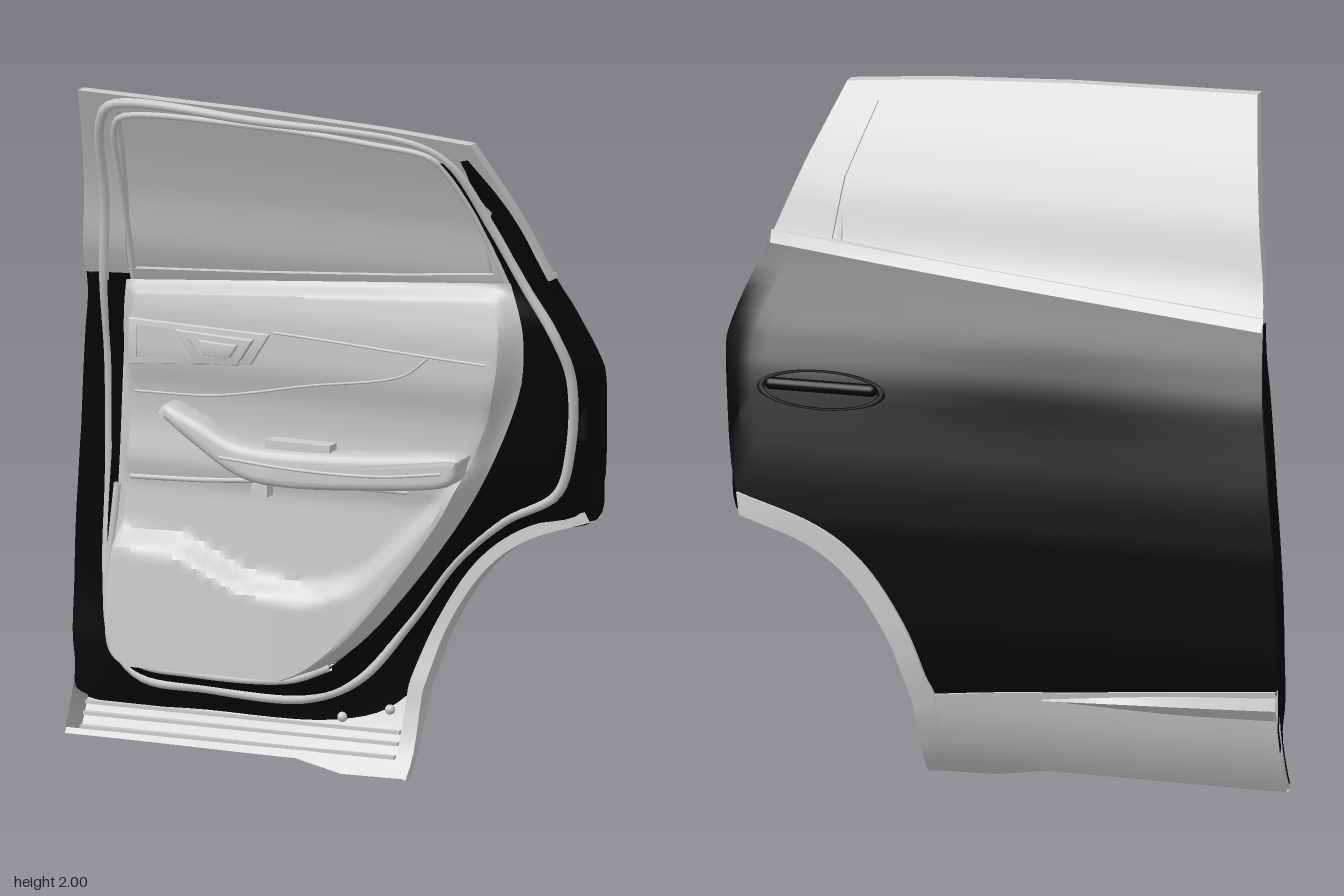
import * as THREE from 'three';
import { toCreasedNormals } from 'three/addons/utils/BufferGeometryUtils.js';

const grey = new THREE.MeshStandardMaterial({ color: 0xcccccc, side: THREE.DoubleSide });
const black = new THREE.MeshStandardMaterial({ color: 0x050505, side: THREE.DoubleSide });

// Smooth ramp from 0 at a to 1 at b, in either direction
function ramp(a, b, x) {
  const t = THREE.MathUtils.clamp((x - a) / (b - a), 0, 1);
  return t * t * (3 - 2 * t);
}

// Smoothed lookup through [input, output] pairs
function profile(t) {
  const lin = y => {
    let i = 0;
    while (i < t.length - 2 && y > t[i + 1][0]) i++;
    const [a, b] = [t[i], t[i + 1]];
    return a[1] + (b[1] - a[1]) * (y - a[0]) / (b[0] - a[0]);
  };
  return y => (lin(y - 0.03) + 2 * lin(y) + lin(y + 0.03)) / 4;
}

// Depth of each layer of the door by height
const skinZ = profile([[0, -0.06], [0.04, -0.1], [0.1, -0.138], [0.2, -0.185], [0.33, -0.22], [0.44, -0.237], [0.76, -0.25], [0.92, -0.24],
  [1.18, -0.19], [1.31, -0.13], [1.4, -0.065], [1.5, -0.005], [1.66, 0.045], [1.81, 0.115], [2, 0.22]]);
const sealZ = profile([[0.2, -0.08], [0.4, -0.115], [0.86, -0.125], [1.13, -0.07], [1.39, 0.03], [1.5, 0.045], [1.7, 0.11], [1.95, 0.23]]);
const edgeZ = profile([[0.2, 0], [0.9, 0.01], [1.2, 0.02], [1.4, 0.055], [1.5, 0.05], [1.7, 0.113], [1.9, 0.215]]);
const trimZ = profile([[0.27, 0.07], [0.6, 0.06], [0.84, 0.05], [0.88, 0.075], [1, 0.06], [1.1, 0.07], [1.2, 0.105], [1.35, 0.11], [1.45, 0.09], [1.55, 0.05]]);
const pocketTop = profile([[-0.62, 0.67], [-0.4, 0.66], [-0.2, 0.57], [0, 0.55], [0.15, 0.6], [0.35, 0.8]]);

const outZ = (x, y) => skinZ(y) + 0.025 * Math.exp(-6 * (x + 0.1) ** 2) * ramp(1.4, 1, y)
  + 0.05 * ramp(0.76, 0.84, x) + 0.015 * x * ramp(1.3, 1.6, y);
const off = d => (x, y) => outZ(x, y) + d;
const innerZ = (x, y) => trimZ(y) + (0.065 - 0.035 * ramp(-0.2, 0.2, x)) * ramp(0.03, -0.04, y - pocketTop(x));

function sample(pts, n, closed, smooth) {
  const v = pts.map(p => new THREE.Vector3(p[0], p[1], 0));
  if (smooth) {
    const c = new THREE.CatmullRomCurve3(v, closed, 'catmullrom', 0.5);
    return Array.from({ length: n + 1 }, (_, i) => c.getPoint(i / n));
  }
  const segs = closed ? v.length : v.length - 1;
  return Array.from({ length: n + 1 }, (_, i) => {
    const s = i / n * segs, j = Math.min(Math.floor(s), segs - 1);
    return v[j].clone().lerp(v[(j + 1) % v.length], s - j);
  });
}

// Surface lofted across outlines; each loop is [points, depth function]
function loft(loops, { k = 6, m = 2, closed = false, smooth = true } = {}) {
  const segs = loops[0][0].length - (closed ? 0 : 1), n = segs * k;
  const rows = loops.map(l => sample(l[0], n, closed, smooth));
  const pos = [], idx = [], last = (loops.length - 1) * m;
  for (let r = 0; r <= last; r++) {
    const a = Math.min(Math.floor(r / m), loops.length - 2), f = r / m - a;
    for (let i = 0; i <= n; i++) {
      const p = rows[a][i].clone().lerp(rows[a + 1][i], f);
      const z = [loops[a], loops[a + 1]].map(l => l[1](p.x, p.y, r / last, i / n));
      pos.push(p.x, p.y, z[0] + (z[1] - z[0]) * f);
      if (r < last && i < n) {
        const q = r * (n + 1) + i;
        idx.push(q, q + 1, q + n + 1, q + 1, q + n + 2, q + n + 1);
      }
    }
  }
  const g = new THREE.BufferGeometry();
  g.setAttribute('position', new THREE.Float32BufferAttribute(pos, 3));
  g.setIndex(idx);
  return toCreasedNormals(g, 0.6);
}

function slab(pts, depth, bevel, hole, round) {
  const v = a => a.map(p => new THREE.Vector2(...p));
  const s = new THREE.Shape();
  if (round) { s.moveTo(...pts[0]); s.splineThru(v([...pts.slice(1), pts[0]])); } else s.setFromPoints(v(pts));
  if (hole) s.holes.push(new THREE.Path(v(hole)));
  const g = new THREE.ExtrudeGeometry(s, { depth, bevelSize: bevel, bevelThickness: bevel, bevelOffset: -bevel, bevelSegments: 4, curveSegments: 6 });
  return toCreasedNormals(g, 0.7);
}

function tube(pts, zf, r, closed = false) {
  const c = new THREE.CatmullRomCurve3(pts.map(p => new THREE.Vector3(p[0], p[1], zf(p[0], p[1]))), closed, 'centripetal');
  return new THREE.TubeGeometry(c, pts.length * 8, r, 8, closed);
}

export function createModel() {
  const door = new THREE.Group();
  door.name = 'carDoor';
  const add = (name, geo, mat = grey, x = 0, y = 0, z = 0) => {
    const m = new THREE.Mesh(geo, mat);
    m.name = name;
    m.position.set(x, y, z);
    door.add(m);
    return m;
  };

  // Outer skin
  add('outerSkin', loft([
    [[[-0.835, 0.35], [-0.84, 0.45], [-0.84, 0.58], [-0.835, 0.7], [-0.83, 0.8], [-0.79, 1.12], [-0.77, 1.27], [-0.75, 1.4]], outZ],
    [[[0.25, 0.25], [0.3, 0.43], [0.4, 0.6], [0.54, 0.72], [0.75, 0.8], [0.83, 1.18], [0.825, 1.31], [0.74, 1.53]], outZ]], { m: 36 }), black);

  // Inner frame: outer rim, seal line and trim edge
  const rim = [[-0.75, 1.4], [-0.79, 1.15], [-0.83, 0.8], [-0.84, 0.5], [-0.83, 0.25], [-0.78, 0.13], [-0.4, 0.13], [0, 0.14], [0.2, 0.22], [0.3, 0.44],
    [0.41, 0.61], [0.55, 0.72], [0.755, 0.77], [0.79, 0.95], [0.835, 1.22], [0.81, 1.35], [0.73, 1.53], [0.645, 1.74], [0.55, 1.9]];
  const seal = [[-0.665, 1.4], [-0.69, 1.15], [-0.715, 0.8], [-0.72, 0.5], [-0.69, 0.3], [-0.6, 0.215], [-0.4, 0.2], [-0.08, 0.2], [0.08, 0.27], [0.23, 0.45],
    [0.37, 0.64], [0.52, 0.77], [0.68, 0.86], [0.735, 1], [0.765, 1.23], [0.735, 1.36], [0.66, 1.5], [0.58, 1.68], [0.49, 1.88]];
  const edge = [[-0.6, 1.39], [-0.61, 1.15], [-0.63, 0.8], [-0.66, 0.5], [-0.655, 0.37], [-0.58, 0.28], [-0.4, 0.26], [-0.1, 0.27], [0.03, 0.32], [0.18, 0.46],
    [0.32, 0.62], [0.45, 0.82], [0.54, 0.98], [0.6, 1.12], [0.645, 1.25], [0.64, 1.4], [0.615, 1.5], [0.55, 1.68], [0.455, 1.88]];
  const rimZ = (x, y) => outZ(x, y) + 0.03 + 0.05 * ramp(-0.65, -0.78, x) * ramp(1.4, 1.15, y) * ramp(0.1, 0.35, y) + 0.014 * ramp(1.4, 1.55, y);
  add('innerFrame', loft([[rim, off(0.004)], [rim, rimZ], [seal, (x, y) => sealZ(y)], [edge, (x, y) => edgeZ(y)]], { m: 3 }), black);
  add('frontEdgeFoot', loft([[[[-0.83, 0.05], [-0.832, 0.3]], off(0.035)], [[[-0.78, 0.05], [-0.78, 0.3]], off(0.035)]]), black);
  add('doorSeal', tube([...seal, [0.4, 1.935], [-0.1, 1.96], [-0.55, 1.965], [-0.6, 1.9], [-0.635, 1.65]], (x, y) => sealZ(y), 0.015, true));
  add('trimLip', tube(edge.slice(2, 9), (x, y) => edgeZ(y) + 0.005, 0.012));

  // Window frame and glass
  const frameOut = [[-0.75, 1.4], [-0.7, 1.7], [-0.65, 2], [-0.1, 1.99], [0.3, 1.972], [0.57, 1.95], [0.66, 1.74], [0.74, 1.53], [0.3, 1.48], [-0.2, 1.435]];
  const opening = [[-0.61, 1.425], [-0.58, 1.66], [-0.545, 1.94], [-0.1, 1.94], [0.25, 1.925], [0.47, 1.905], [0.54, 1.7], [0.56, 1.53], [0.25, 1.495], [-0.2, 1.455]];
  add('windowFrame', loft([[opening, off(0.012)], [opening, outZ], [frameOut, outZ], [frameOut, off(0.04)], [opening, off(0.04)], [opening, off(0.012)]],
    { closed: true, smooth: false }));
  add('windowGlass', loft([
    [[[-0.62, 1.36], [-0.6, 1.66], [-0.575, 1.955]], off(0.012)],
    [[[0.61, 1.45], [0.565, 1.7], [0.485, 1.945]], off(0.012)]], { m: 20, k: 8 }));
  add('quarterDivider', tube([[0.535, 1.47], [0.54, 1.58], [0.545, 1.69]], off(0.016), 0.006));
  add('windowChannel', tube([[-0.6, 1.39], [-0.585, 1.65], [-0.565, 1.88], [-0.53, 1.925], [-0.1, 1.94], [0.25, 1.92], [0.43, 1.895], [0.47, 1.85], [0.55, 1.66], [0.6, 1.5]], off(0.04), 0.01));

  // Belt moulding
  const beltTop = [[-0.75, 1.415], [-0.2, 1.46], [0.3, 1.503], [0.74, 1.545]];
  const beltLow = beltTop.map(([x, y]) => [x, y - 0.035]);
  add('beltMoulding', loft([[beltTop, outZ], [beltTop, off(-0.008)], [beltLow, off(-0.008)], [beltLow, outZ]]));

  // Sill cladding with ribs on its inner face
  const sillLow = [[-0.83, 0.03], [-0.45, 0.03], [-0.1, 0.03], [0.05, 0.003], [0.25, 0.003]];
  const sillTop = [[-0.835, 0.36], [-0.5, 0.33], [-0.2, 0.3], [0.05, 0.28], [0.25, 0.26]];
  add('sillCladding', loft([[sillTop, off(0.01)], [sillTop, off(-0.01)], [sillLow, off(-0.01)], [sillLow, off(0.02)], [sillTop, off(0.02)]], { m: 5, smooth: false }));
  for (const y of [0.055, 0.09, 0.12])
    add('sillRib', new THREE.BoxGeometry(0.98, 0.01, 0.02), grey, -0.29, y, outZ(-0.3, y) + 0.02);
  for (const [x, y] of [[0.02, 0.15], [0.16, 0.18]])
    add('sillClip', new THREE.SphereGeometry(0.015, 12, 8), grey, x, y, outZ(x, y) + 0.035);
  const stripTop = [[-0.835, 0.345], [-0.5, 0.32], [-0.13, 0.275]], stripLow = [[-0.835, 0.265], [-0.5, 0.26], [-0.13, 0.27]];
  const stripMid = stripTop.map(([x, y], i) => [x, (y + stripLow[i][1]) / 2]);
  add('sillAccent', loft([[stripTop, off(-0.008)], [stripMid, off(-0.026)], [stripLow, off(-0.008)]]));

  // Wheel arch cladding
  const arch = [[0.25, 0], [0.255, 0.2], [0.27, 0.28], [0.325, 0.44], [0.43, 0.6], [0.56, 0.7], [0.755, 0.77]];
  const archIn = [[0.19, 0.01], [0.19, 0.24], [0.215, 0.32], [0.27, 0.47], [0.385, 0.645], [0.53, 0.755], [0.765, 0.835]];
  const archLip = [[0.2, 0.01], [0.21, 0.2], [0.225, 0.29], [0.29, 0.45], [0.4, 0.62], [0.54, 0.73], [0.74, 0.8]];
  const lipZ = (x, y) => outZ(x, y) + 0.02 + 0.04 * ramp(0, 0.3, y);
  add('archCladding', loft([[archIn, outZ], [archIn, off(-0.012)], [arch, off(-0.012)], [arch, lipZ], [archLip, lipZ]], { m: 3 }));

  // Outer handle and latch
  const cup = add('handleCup', new THREE.TorusGeometry(0.09, 0.006, 8, 32), black, 0.53, 1.14, outZ(0.53, 1.14));
  cup.scale.set(2, 0.6, 1);
  cup.rotation.x = 0.22;
  const pull = add('outerHandle', new THREE.CapsuleGeometry(0.018, 0.3, 6, 16), black, 0.53, 1.15, outZ(0.53, 1.15) - 0.002);
  pull.rotation.z = Math.PI / 2;
  add('latch', new THREE.BoxGeometry(0.03, 0.09, 0.05), black, 0.77, 1.08, -0.12);

  // Interior trim panel
  const left = [[-0.55, 0.275], [-0.64, 0.34], [-0.655, 0.5], [-0.63, 0.8], [-0.61, 1.15], [-0.6, 1.3], [-0.585, 1.41]];
  const right = [[-0.1, 0.275], [0.05, 0.34], [0.22, 0.5], [0.46, 0.82], [0.61, 1.13], [0.65, 1.35], [0.615, 1.51]];
  const panelZ = (x, y, u, v) => {
    const e = ramp(0, 0.05, Math.min(u, 1 - u)) * ramp(0, 0.06, v) * ramp(0, 0.05, 1 - v);
    return edgeZ(y) + e * (innerZ(x, y) - edgeZ(y));
  };
  add('trimPanel', loft([[left, panelZ], [right, panelZ]], { m: 70, k: 14 }));
  const raised = (x, y) => innerZ(x, y) + 0.006;
  add('speakerGrille', loft([[[[-0.59, 0.36], [-0.59, 0.46], [-0.58, 0.56]], raised], [[[-0.23, 0.36], [-0.14, 0.48], [-0.36, 0.56]], raised]], { m: 12, smooth: false }));
  add('upperSeam', tube([[-0.1, 1.31], [0.1, 1.3], [0.35, 1.285], [0.56, 1.275]], innerZ, 0.004));
  add('middleSeam', tube([[-0.55, 1.09], [-0.3, 1.1], [0, 1.16], [0.3, 1.22], [0.38, 1.28]], innerZ, 0.004));
  add('lowerSeam', tube([[-0.57, 0.835], [-0.35, 0.845], [-0.1, 0.865], [0.3, 0.87]], innerZ, 0.008));

  // Armrest with grab handle and switch pod
  add('armrest', slab([[-0.45, 1.05], [-0.42, 1.075], [-0.32, 1.035], [-0.17, 0.975], [0.15, 0.98], [0.46, 1.005], [0.485, 0.97], [0.44, 0.91], [0.2, 0.88],
    [-0.05, 0.865], [-0.2, 0.885], [-0.35, 0.975]], 0.06, 0.025, null, true), grey, 0, 0, 0.07);
  add('armrestSeam', tube([[-0.25, 0.94], [0, 0.925], [0.25, 0.93], [0.44, 0.955]], () => 0.154, 0.005));
  add('switchPod', new THREE.BoxGeometry(0.2, 0.025, 0.05), grey, -0.02, 0.985, 0.1);
  add('pullLatch', new THREE.BoxGeometry(0.05, 0.035, 0.04), grey, -0.15, 0.84, 0.08);

  // Inner release handle
  add('releasePlate', slab([[-0.55, 1.315], [-0.11, 1.305], [-0.17, 1.21], [-0.55, 1.18]], 0.016, 0.004,
    [[-0.53, 1.3], [-0.14, 1.292], [-0.185, 1.222], [-0.53, 1.197]]), grey, 0, 0, 0.1);
  add('releaseBezel', slab([[-0.4, 1.295], [-0.16, 1.285], [-0.21, 1.205], [-0.34, 1.2]], 0.02, 0.005,
    [[-0.37, 1.277], [-0.19, 1.27], [-0.225, 1.222], [-0.33, 1.218]]), grey, 0, 0, 0.102);
  add('releaseLever', slab([[-0.33, 1.27], [-0.21, 1.265], [-0.235, 1.225], [-0.315, 1.225]], 0.012, 0.004), grey, 0, 0, 0.108);

  return door;
}
